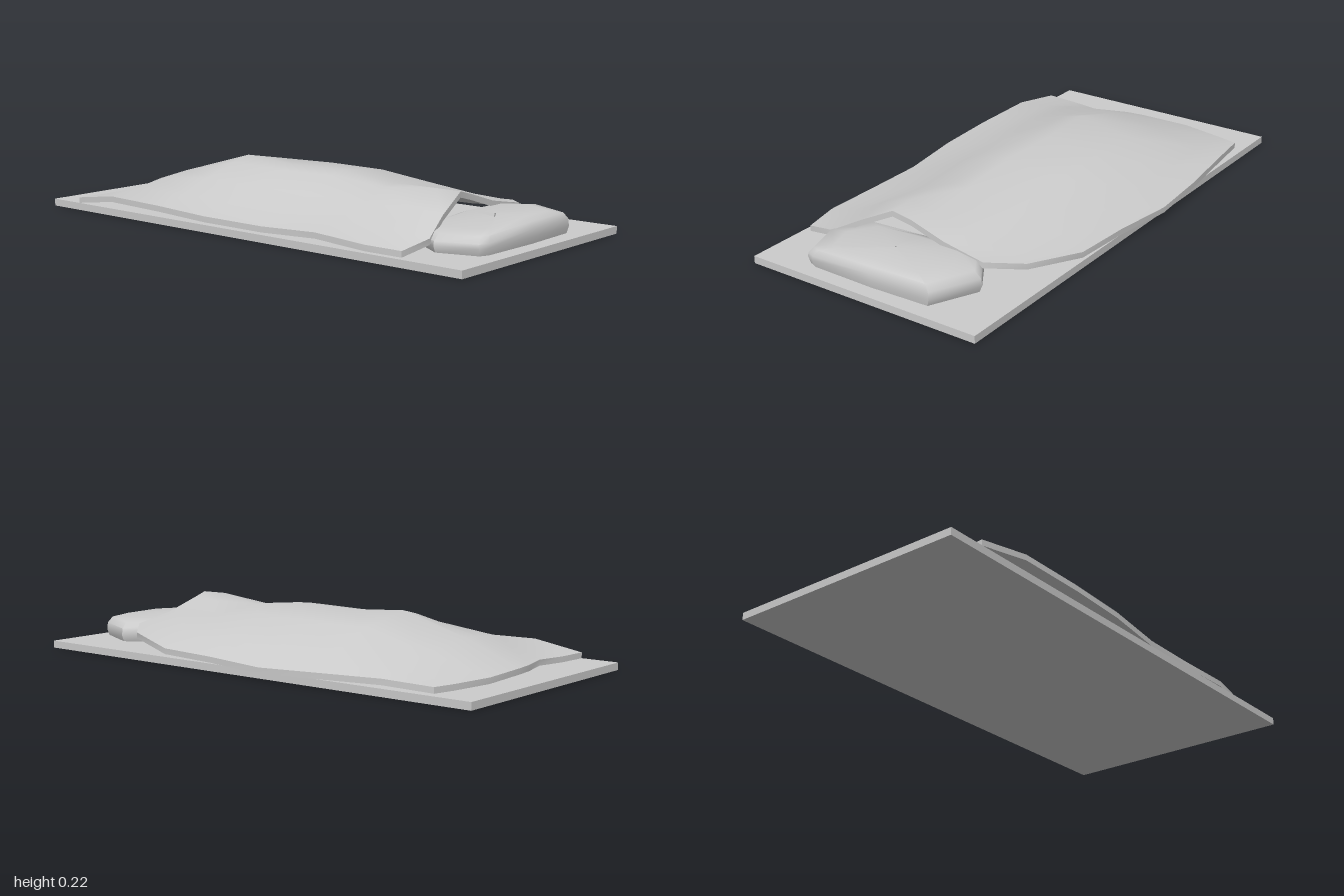
import * as THREE from 'three';
import { toCreasedNormals } from 'three/addons/utils/BufferGeometryUtils.js';

const material = new THREE.MeshStandardMaterial({ color: 0xcccccc, side: THREE.DoubleSide });

// Collects quads and turns them into a smooth geometry with sharp rims
function quadMesh(name, quads, crease) {
  const pos = [];
  for (const [a, b, c, d] of quads) pos.push(...a, ...b, ...c, ...a, ...c, ...d);
  const g = new THREE.BufferGeometry();
  g.setAttribute('position', new THREE.Float32BufferAttribute(pos, 3));
  const mesh = new THREE.Mesh(toCreasedNormals(g, crease), material);
  mesh.name = name;
  return mesh;
}

// Thin draped sheet, lofted from cross-sections along x
function createBlanket() {
  const thickness = 0.022;
  const across = [-1, -0.8, -0.42, 0.04, 0.2, 0.48, 0.73, 1];
  const footX = [-0.83, -0.85, -0.88, -0.87, -0.86, -0.82, -0.84, -0.85];
  const headX = [0.7, 0.7, 0.7, 0.7, 0.71, 0.73, 0.76, 0.74];
  // x, back z, front z, heights from back to front
  const stations = [
    [footX, -0.44, 0.485, [0.05, 0.05, 0.052, 0.055, 0.055, 0.052, 0.05, 0.05]],
    [-0.64, -0.47, 0.5, [0.06, 0.08, 0.115, 0.14, 0.135, 0.12, 0.095, 0.08]],
    [-0.37, -0.5, 0.505, [0.055, 0.1, 0.175, 0.215, 0.195, 0.15, 0.1, 0.075]],
    [-0.13, -0.51, 0.505, [0.047, 0.1, 0.18, 0.2, 0.19, 0.14, 0.095, 0.065]],
    [0.13, -0.485, 0.478, [0.055, 0.105, 0.18, 0.205, 0.195, 0.145, 0.09, 0.057]],
    [0.37, -0.475, 0.467, [0.06, 0.1, 0.155, 0.18, 0.175, 0.13, 0.09, 0.065]],
    [0.6, -0.4, 0.483, [0.09, 0.105, 0.14, 0.175, 0.198, 0.15, 0.09, 0.056]],
    [headX, -0.29, 0.46, [0.105, 0.115, 0.135, 0.178, 0.197, 0.135, 0.075, 0.05]],
  ];
  const top = stations.map(([x, back, front, ys]) => across.map((v, j) =>
    [Array.isArray(x) ? x[j] : x, ys[j], v < 0 ? -v * back : v * front]));
  const low = top.map(row => row.map(([x, y, z]) => [x, y - thickness, z]));
  const quads = [];
  const m = top.length - 1, n = across.length - 1;
  for (let i = 0; i < m; i++) {
    for (let j = 0; j < n; j++) {
      quads.push([top[i][j], top[i][j + 1], top[i + 1][j + 1], top[i + 1][j]]);
      quads.push([low[i][j], low[i + 1][j], low[i + 1][j + 1], low[i][j + 1]]);
    }
    // Side hems
    quads.push([top[i][0], top[i + 1][0], low[i + 1][0], low[i][0]]);
    quads.push([top[i][n], low[i][n], low[i + 1][n], top[i + 1][n]]);
  }
  // Foot and head hems
  for (let j = 0; j < n; j++) {
    quads.push([low[m][j], top[m][j], top[m][j + 1], low[m][j + 1]]);
    quads.push([low[0][j], low[0][j + 1], top[0][j + 1], top[0][j]]);
  }
  return quadMesh('blanket', quads, 0.9);
}

// Cushion made of stacked, shrinking outlines
function createPillow() {
  const outline = [[0.64, -0.25], [0.64, 0], [0.64, 0.25], [0.78, 0.342], [0.93, 0.295],
    [0.945, 0.26], [0.95, 0], [0.94, -0.245], [0.76, -0.33]];
  const cx = 0.8, cz = 0.01;
  const rings = [[0.03, 0.97], [0.055, 1], [0.082, 0.99], [0.105, 0.92], [0.117, 0.7], [0.12, 0.02]]
    .map(([y, s]) => outline.map(([x, z]) => [
      cx + (x - cx) * s,
      // Top sags toward the front corner
      y - (y > 0.06 && z > 0.2 ? 0.012 : 0),
      cz + (z - cz) * s]));
  const quads = [];
  const n = outline.length;
  for (let i = 0; i < rings.length - 1; i++) {
    for (let j = 0; j < n; j++) {
      const k = (j + 1) % n;
      quads.push([rings[i][j], rings[i][k], rings[i + 1][k], rings[i + 1][j]]);
    }
  }
  return quadMesh('pillow', quads, 0.8);
}

export function createModel() {
  const group = new THREE.Group();
  group.name = 'bedding';

  // Flat mat
  const mat = new THREE.Mesh(new THREE.BoxGeometry(2, 0.028, 0.965), material);
  mat.name = 'mat';
  mat.position.set(0, 0.014, 0.004);
  group.add(mat, createBlanket(), createPillow());
  return group;
}
